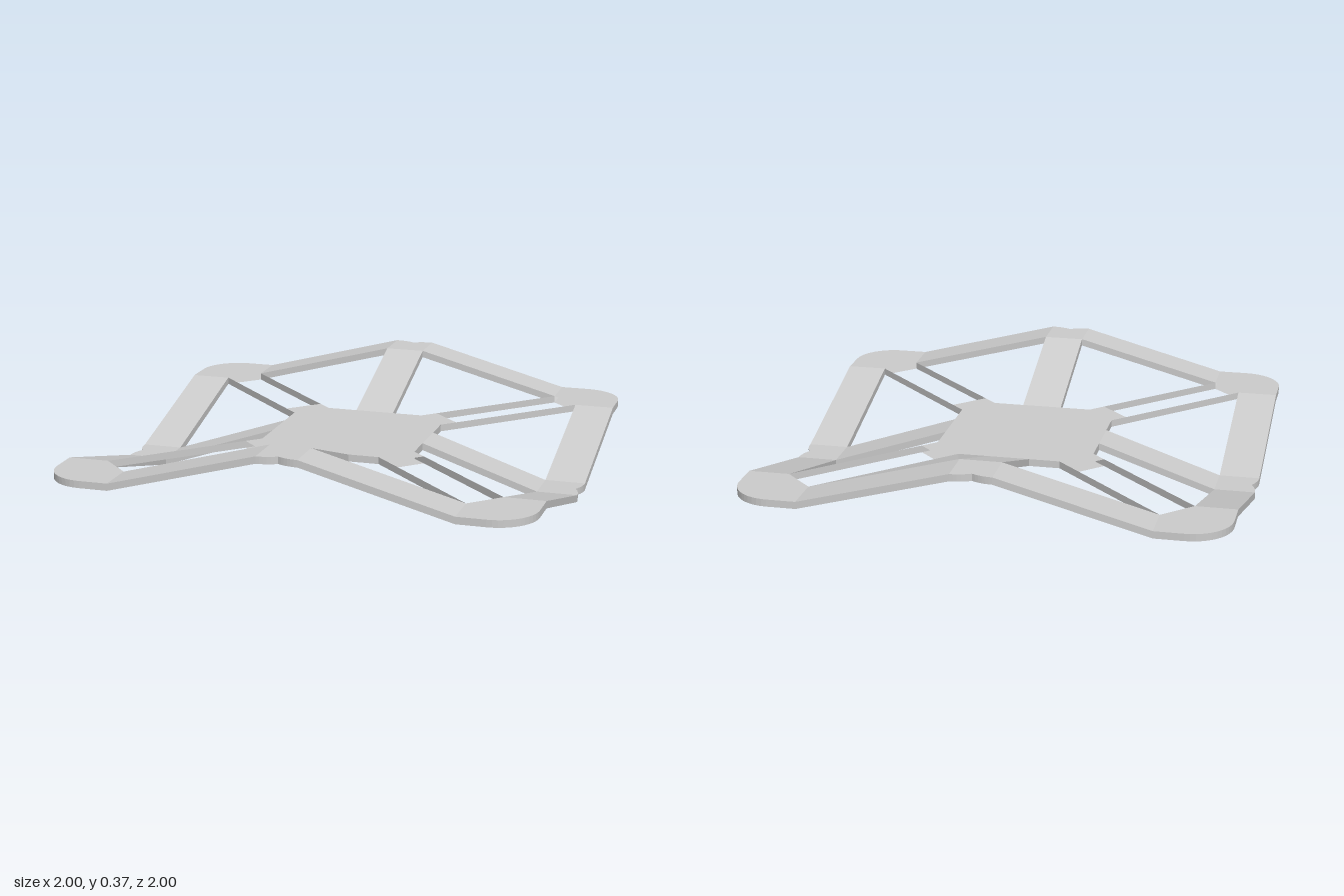
import * as THREE from 'three';

const T = 0.03;      // sheet thickness
const BASE = 0.1675; // underside of the level parts, also the rise and drop of the sides
const A = 0.085;     // half width of a bar
const IN = 0.83;     // inner edge of the rim
const CH = 0.71;     // start of the corner pads
const HUB = 0.335;

const material = new THREE.MeshStandardMaterial({ color: 0xcccccc, side: THREE.DoubleSide });

// Hollow panel over [x, z, lift] points; only the edges passing isWall get a side wall.
function panel(name, points, isWall, capped = true) {
  let pts = points.map(([x, z, lift = 0]) => new THREE.Vector3(x, BASE + lift, z));
  const flat = pts.map(p => new THREE.Vector2(p.x, -p.z));
  const flip = capped && THREE.ShapeUtils.isClockWise(flat);
  const pos = [];
  const tri = (a, b, c) => {
    for (const p of flip ? [a, c, b] : [a, b, c]) pos.push(p.x, p.y, p.z);
  };
  const top = pts.map(p => p.clone().setY(p.y + T));
  if (capped) {
    const order = pts.map((_, i) => i);
    if (flip) { order.reverse(); flat.reverse(); }
    for (const f of THREE.ShapeUtils.triangulateShape(flat, [])) {
      let [a, b, c] = f.map(i => order[i]);
      if (flip) [b, c] = [c, b];
      tri(top[a], top[b], top[c]);
      tri(pts[a], pts[c], pts[b]);
    }
  }
  const edges = capped ? pts.length : pts.length - 1;
  for (let i = 0; i < edges; i++) {
    if (!isWall(i)) continue;
    const j = (i + 1) % pts.length;
    tri(pts[i], pts[j], top[j]);
    tri(pts[i], top[j], top[i]);
  }
  const geo = new THREE.BufferGeometry();
  geo.setAttribute('position', new THREE.Float32BufferAttribute(pos, 3));
  geo.computeVertexNormals();
  const mesh = new THREE.Mesh(geo, material);
  mesh.name = name;
  return mesh;
}

// Points on an arc of radius 1 - IN, angles measured from +x towards +z.
function arc(cx, cz, from, to, lift = 0, steps = 12) {
  const r = 1 - IN;
  return Array.from({ length: steps + 1 }, (_, i) => {
    const t = from + (to - from) * i / steps;
    return [cx + r * Math.cos(t), cz + r * Math.sin(t), lift];
  });
}

// One quarter: a spoke, its side of the rim, a corner pad and a diagonal brace.
function buildSide(lift) {
  const side = new THREE.Group();
  side.add(panel('spoke',
    [[-A, HUB], [A, HUB], [A, IN, lift], [-A, IN, lift]], i => i % 2 === 1));

  for (const s of [1, -1]) {
    side.add(panel('rimArm',
      [[s * A, IN, lift], [s * CH, IN], [s * CH, 1], [s * A, 1, lift]], i => i % 2 === 0));
  }

  // Level joint where two rounded ends meet in a small notch
  const meet = Math.acos(-A / (1 - IN));
  const right = arc(A, IN, Math.PI / 2, meet, lift, 6);
  const left = right.slice(0, -1).reverse().map(([x, z, y]) => [-x, z, y]);
  side.add(panel('rimJoint',
    [[-A, IN, lift], [A, IN, lift], ...right, ...left],
    i => i >= 2 && i <= 13));

  // Rounded corner, open on the chamfer that faces the brace
  const pad = [[CH, IN], [CH, 1], ...arc(IN, IN, Math.PI / 2, 0), [1, CH], [IN, CH]];
  side.add(panel('cornerPad', pad, i => i > 0 && i < pad.length - 2));

  // Open diagonal brace made of two upright strips
  side.add(panel('braceWall', [[0.27, 0.39], [CH, IN]], () => true, false));
  side.add(panel('braceWall', [[IN, CH], [0.39, 0.27]], () => true, false));
  return side;
}

export function createModel() {
  const model = new THREE.Group();
  model.name = 'warpedFrame';

  // Hub plate with four lobes, open where spokes and braces join
  const hub = [];
  let quarter = [[A, HUB], [0.215, HUB], [0.27, 0.39], [0.39, 0.27], [HUB, 0.215], [HUB, A]];
  for (let k = 0; k < 4; k++) {
    hub.push(...quarter);
    quarter = quarter.map(([x, z]) => [z, -x]);
  }
  model.add(panel('hub', hub, i => i % 6 !== 2 && i % 6 !== 5));

  // Front and back rise, left and right drop
  for (let k = 0; k < 4; k++) {
    const side = buildSide(k % 2 ? -BASE : BASE);
    side.name = ['frontSide', 'leftSide', 'backSide', 'rightSide'][k];
    side.rotation.y = k * Math.PI / 2;
    model.add(side);
  }
  return model;
}
